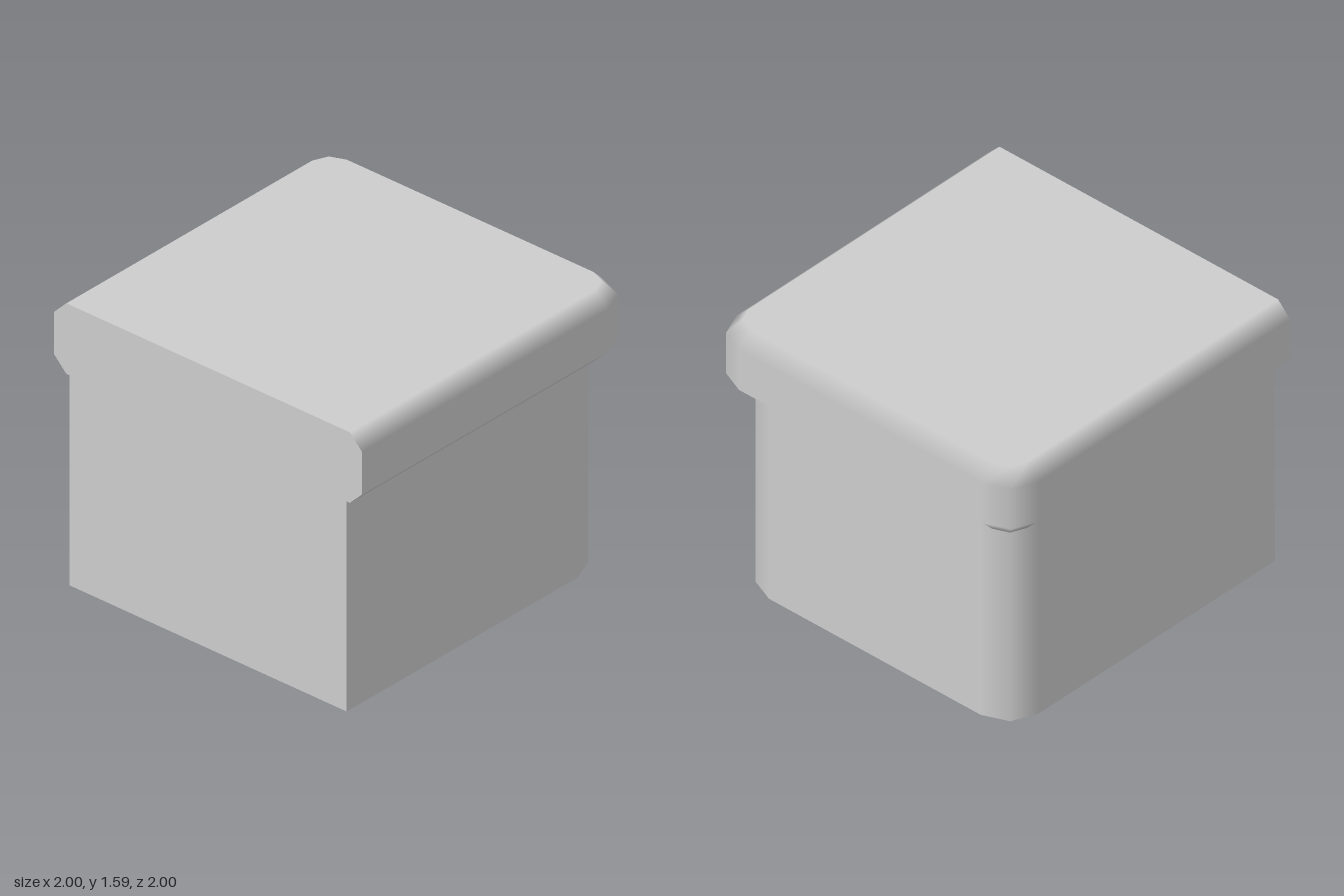
import * as THREE from 'three';

const END_X = -1; // flat cut end
const stone = new THREE.MeshStandardMaterial({ color: 0xcccccc });
stone.name = 'plain grey';
stone.side = THREE.DoubleSide;

// Open U outline: straight front, two rounded +x corners, straight back.
// Each point carries the angle its side faces (0 = +x, PI/2 = +z).
function outline(cornerX, cornerZ, radius) {
  const points = [{ x: END_X, z: cornerZ + radius, angle: Math.PI / 2 }];
  for (const side of [1, -1]) {
    for (let k = 0; k <= 2; k++) {
      const angle = side > 0 ? (Math.PI / 4) * (2 - k) : (-Math.PI / 4) * k;
      points.push({
        x: cornerX + radius * Math.cos(angle),
        z: side * cornerZ + radius * Math.sin(angle),
        angle,
      });
    }
  }
  points.push({ x: END_X, z: -cornerZ - radius, angle: -Math.PI / 2 });
  return points;
}

// Smooth skin through stacked outlines; up is the vertical part of the normal.
function skin(cornerX, cornerZ, rings) {
  const position = [], normal = [], index = [];
  rings.forEach(({ y, radius, up }, i) => {
    const points = outline(cornerX, cornerZ, radius);
    const flat = 1 - Math.abs(up);
    points.forEach((p, j) => {
      position.push(p.x, y, p.z);
      normal.push(flat * Math.cos(p.angle), up, flat * Math.sin(p.angle));
      if (i && j) {
        const d = i * points.length + j, c = d - points.length;
        index.push(c - 1, c, d, c - 1, d, d - 1);
      }
    });
  });
  const geometry = new THREE.BufferGeometry();
  geometry.setAttribute('position', new THREE.Float32BufferAttribute(position, 3));
  geometry.setAttribute('normal', new THREE.Float32BufferAttribute(normal, 3));
  geometry.setIndex(index);
  return geometry;
}

function flatShape(points) {
  return new THREE.ShapeGeometry(new THREE.Shape(points.map(([x, y]) => new THREE.Vector2(x, y))));
}

// Horizontal plate filling an outline, facing up (1) or down (-1).
function plate(cornerX, cornerZ, radius, y, facing) {
  const points = outline(cornerX, cornerZ, radius).map((p) => [p.x, -p.z]);
  return flatShape(points).rotateX((-facing * Math.PI) / 2).translate(0, y, 0);
}

// Vertical plate closing the cut end, facing -x.
function endPlate(points) {
  return flatShape(points).rotateY(-Math.PI / 2).translate(END_X, 0, 0);
}

export function createModel() {
  const model = new THREE.Group();
  model.name = 'cappedWallEnd';
  const addPart = (group, name, geometry) => {
    const mesh = new THREE.Mesh(geometry, stone);
    mesh.name = name;
    group.add(mesh);
  };

  const base = 1.19, top = 1.59, bevel = 0.08, r = 0.2;

  // Hollow body, open underneath
  const body = new THREE.Group();
  body.name = 'body';
  addPart(body, 'bodyWall', skin(0.695, 0.7, [
    { y: 0, radius: r, up: 0 },
    { y: base, radius: r, up: 0 },
  ]));
  addPart(body, 'bodyEnd', endPlate([[-0.9, 0], [0.9, 0], [0.9, base], [-0.9, base]]));

  // Overhanging cap with bevelled rims
  const cap = new THREE.Group();
  cap.name = 'cap';
  addPart(cap, 'capRim', skin(0.8, 0.8, [
    { y: base, radius: r - bevel, up: -1 },
    { y: base + bevel, radius: r, up: 0 },
    { y: top - bevel, radius: r, up: 0 },
    { y: top, radius: r - bevel, up: 1 },
  ]));
  addPart(cap, 'capTop', plate(0.8, 0.8, r - bevel, top, 1));
  addPart(cap, 'capUnderside', plate(0.8, 0.8, r - bevel, base, -1));
  const inner = 1 - bevel;
  addPart(cap, 'capEnd', endPlate([
    [-inner, base], [inner, base], [1, base + bevel], [1, top - bevel],
    [inner, top], [-inner, top], [-1, top - bevel], [-1, base + bevel],
  ]));

  model.add(body, cap);
  return model;
}
